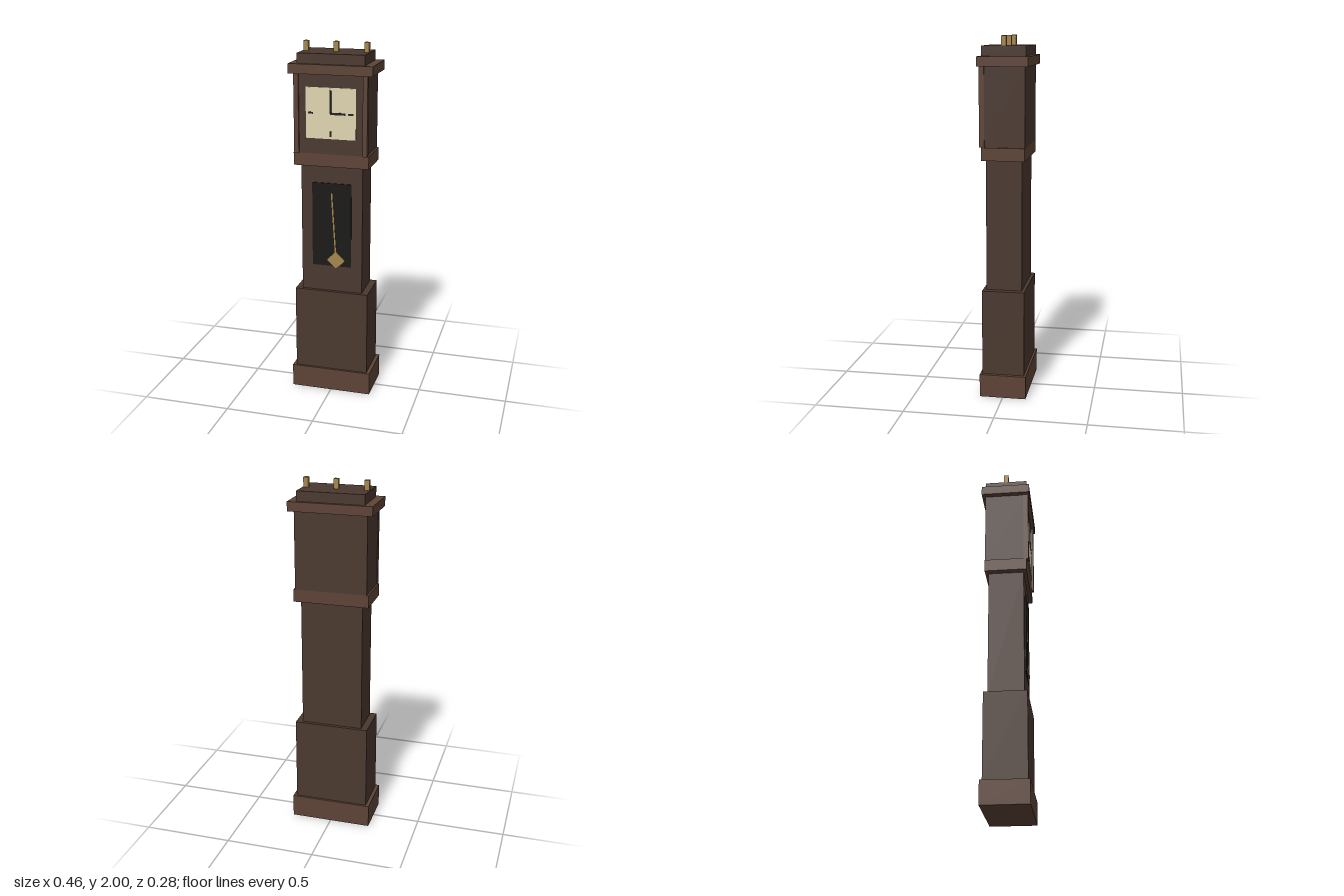
import * as THREE from 'three';

const mat = (color) => new THREE.MeshStandardMaterial({ color, flatShading: true });

export function createModel() {
  const clock = new THREE.Group();
  clock.name = 'longcaseClock';

  const darkWood = mat(0x4a382f);
  const wood = mat(0x5d4336);
  const brass = mat(0xa5864d);
  const cream = mat(0xe0d5b2);
  const glass = mat(0x1a1918);
  const ink = mat(0x222222);

  // Box from its centre x, its bottom and top, its back and front, and its width
  function box(name, material, x, width, y0, y1, z0, z1, parent = clock) {
    const mesh = new THREE.Mesh(new THREE.BoxGeometry(width, y1 - y0, z1 - z0), material);
    mesh.position.set(x, (y0 + y1) / 2, (z0 + z1) / 2);
    mesh.name = name;
    parent.add(mesh);
    return mesh;
  }

  // Case, from the floor up
  box('plinth', wood, 0, 0.46, 0, 0.13, -0.13, 0.13);
  box('base', darkWood, 0, 0.42, 0.13, 0.613, -0.118, 0.118);
  box('trunk', darkWood, 0, 0.346, 0.613, 1.34, -0.099, 0.099);
  box('waistMoulding', wood, 0, 0.42, 1.34, 1.41, -0.118, 0.118);
  box('hood', darkWood, 0, 0.4, 1.41, 1.84, -0.118, 0.118);
  box('cornice', wood, 0, 0.462, 1.84, 1.892, -0.138, 0.138);
  box('crown', darkWood, 0, 0.37, 1.892, 1.947, -0.12, 0.12);

  // Hood columns, standing proud of the front corners
  for (const side of [-1, 1]) {
    box('hoodColumn', wood, side * 0.19, 0.026, 1.41, 1.84, 0.102, 0.13);
  }

  // Finials
  for (const x of [-0.167, 0, 0.167]) {
    box('finial', brass, x, 0.026, 1.947, 2, -0.013, 0.013);
  }

  // Dial with hour marks and hands
  const dial = new THREE.Group();
  dial.name = 'dial';
  dial.position.y = 1.633;
  clock.add(dial);
  box('dialPlate', cream, 0, 0.276, -0.138, 0.138, 0.116, 0.121, dial);
  for (let i = 0; i < 4; i++) {
    const a = (i * Math.PI) / 2;
    const mark = box('hourMark', ink, 0, 0.01, -0.014, 0.014, 0.12, 0.123, dial);
    mark.position.x = Math.sin(a) * 0.111;
    mark.position.y = Math.cos(a) * 0.111;
    mark.rotation.z = -a;
  }
  box('minuteHand', ink, 0, 0.009, 0, 0.122, 0.122, 0.125, dial);
  box('hourHand', ink, 0.04, 0.085, -0.006, 0.006, 0.122, 0.125, dial);

  // Trunk window
  box('window', glass, 0, 0.222, 0.764, 1.244, 0.097, 0.104);

  // Pendulum, caught mid-swing
  const pendulum = new THREE.Group();
  pendulum.name = 'pendulum';
  pendulum.position.set(0, 1.19, 0);
  pendulum.rotation.z = 0.064;
  clock.add(pendulum);
  box('pendulumRod', brass, 0, 0.008, -0.39, 0, 0.103, 0.107, pendulum);
  const bob = box('pendulumBob', brass, 0.0, 0.073, -0.4265, -0.3535, 0.104, 0.109, pendulum);
  bob.rotation.z = Math.PI / 4 - 0.064;

  return clock;
}
